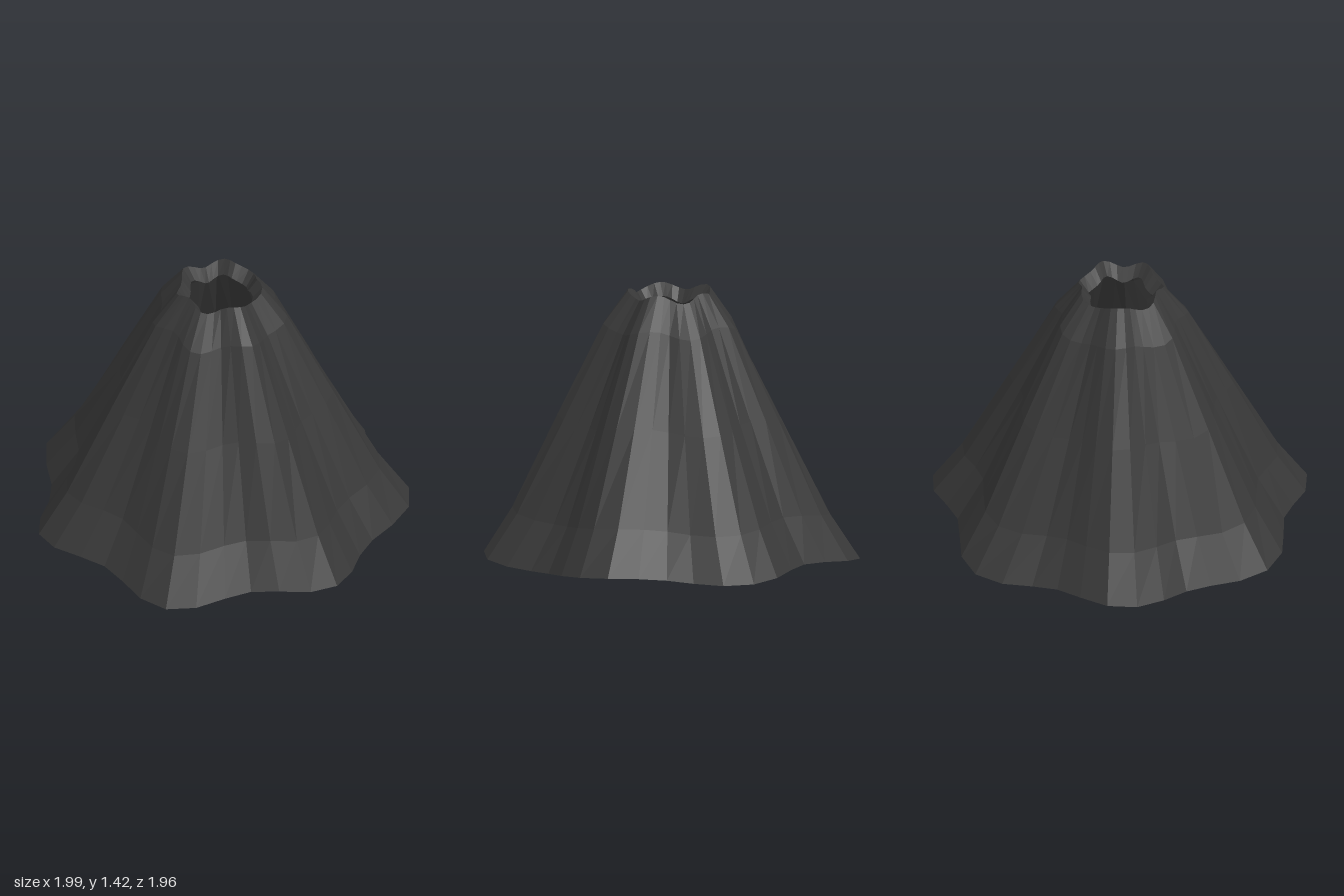
import * as THREE from 'three';

const SEGMENTS = 40;
const CENTRE_Z = -0.035;

// One ring of the cloth: seven folds around, five gentle waves in height.
function ringPoint(ring, i) {
  const [y, radius, fold] = ring;
  const a = (i / SEGMENTS) * Math.PI * 2;
  const r = radius + fold * Math.cos(7 * a + y / 1.4);
  return [r * Math.sin(a), y - 0.021 * Math.cos(5 * a), CENTRE_Z + r * Math.cos(a)];
}

// Skin between successive rings.
function loft(rings) {
  const positions = [];
  const index = [];
  const cols = SEGMENTS + 1;
  rings.forEach((ring) => {
    for (let i = 0; i < cols; i++) positions.push(...ringPoint(ring, i));
  });
  for (let j = 0; j < rings.length - 1; j++) {
    for (let i = 0; i < SEGMENTS; i++) {
      const a = j * cols + i;
      const b = a + cols;
      index.push(a, a + 1, b + 1, a, b + 1, b);
    }
  }
  const geometry = new THREE.BufferGeometry();
  geometry.setAttribute('position', new THREE.Float32BufferAttribute(positions, 3));
  geometry.setIndex(index);
  const flat = geometry.toNonIndexed();
  flat.computeVertexNormals();
  return flat;
}

export function createModel() {
  const group = new THREE.Group();
  group.name = 'flutedSkirt';

  const cloth = new THREE.MeshStandardMaterial({ color: 0x383838, side: THREE.DoubleSide, flatShading: true });
  cloth.name = 'charcoal cloth';

  // Rings as [height, mean radius, fold depth]
  const hem = [0.024, 0.95, 0.065];
  const rim = [1.402, 0.217, 0.014];
  const parts = {
    skirt: [hem, [0.26, 0.8, 0.055], [0.75, 0.565, 0.042], [1.23, 0.335, 0.027], rim],
    waistLip: [rim, [1.335, 0.167, 0.013]], // turned inward and down
  };
  for (const [name, rings] of Object.entries(parts)) {
    const mesh = new THREE.Mesh(loft(rings), cloth);
    mesh.name = name;
    group.add(mesh);
  }
  return group;
}
